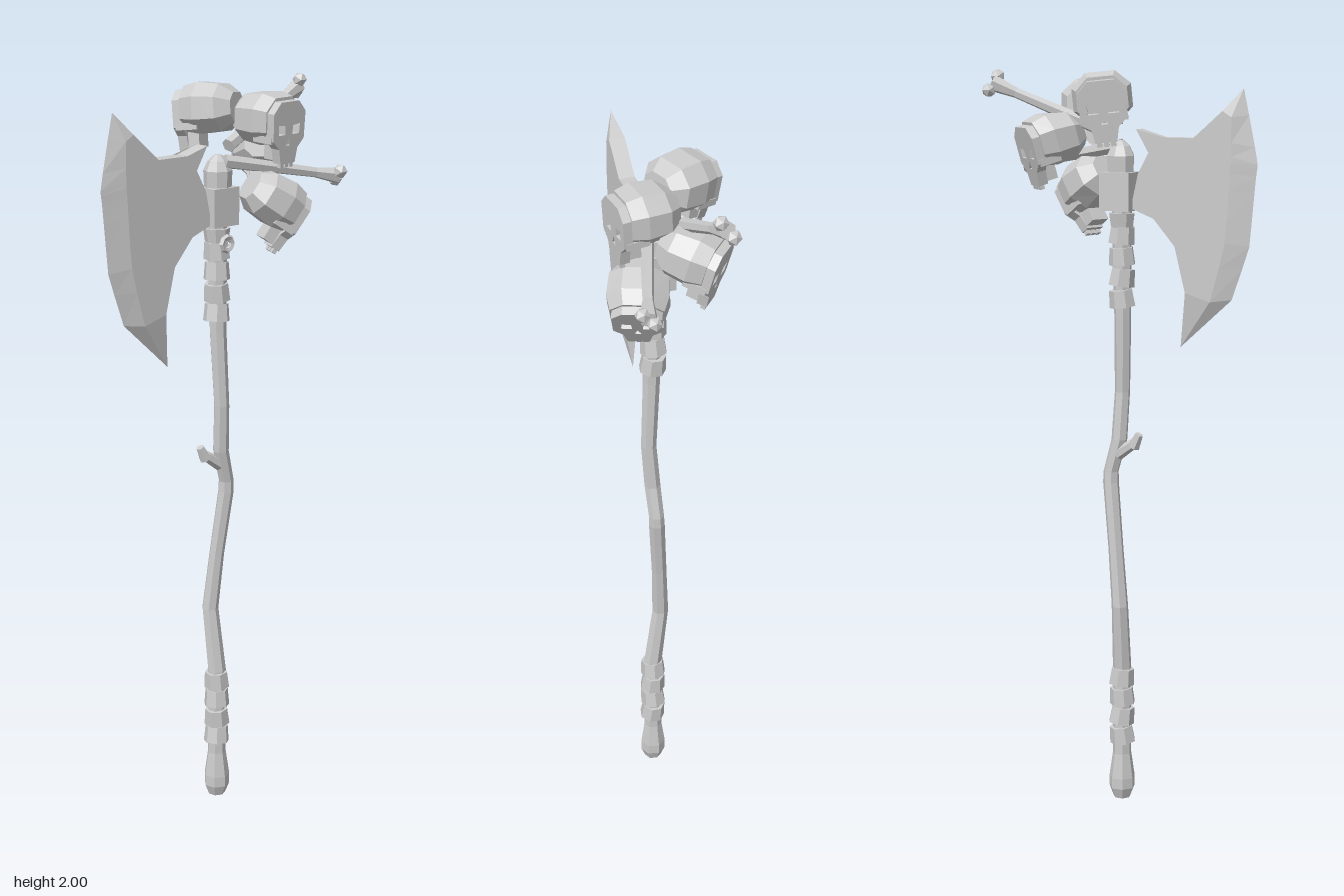
import * as THREE from 'three';

const mat = new THREE.MeshStandardMaterial({ color: 0xcccccc, flatShading: true });
const V = (x, y, z) => new THREE.Vector3(x, y, z);

function add(parent, name, geometry, x = 0, y = 0, z = 0) {
  const mesh = new THREE.Mesh(geometry, mat);
  mesh.name = name;
  mesh.position.set(x, y, z);
  parent.add(mesh);
  return mesh;
}

// Skin a list of equal-length closed rings, with fan caps at both ends
function loft(rings) {
  const pos = [];
  const tri = (...pts) => pts.forEach((p) => pos.push(p.x, p.y, p.z));
  const n = rings[0].length;
  const last = rings.length - 1;
  for (let r = 0; r < last; r++) {
    for (let i = 0; i < n; i++) {
      const j = (i + 1) % n;
      const [a, b, c, d] = [rings[r][i], rings[r][j], rings[r + 1][j], rings[r + 1][i]];
      tri(a, b, c);
      tri(a, c, d);
    }
  }
  for (let i = 1; i < n - 1; i++) {
    tri(rings[0][0], rings[0][i + 1], rings[0][i]);
    tri(rings[last][0], rings[last][i], rings[last][i + 1]);
  }
  const g = new THREE.BufferGeometry();
  g.setAttribute('position', new THREE.Float32BufferAttribute(pos, 3));
  g.computeVertexNormals();
  return g;
}

// Horizontal ring around the y axis
const ringY = (y, x, z, r, n = 7) => Array.from({ length: n }, (_, i) => {
  const a = (i / n) * Math.PI * 2;
  return V(x + r * Math.cos(a), y, z - r * Math.sin(a));
});

// Tapered rod between two points
function rod(parent, name, from, to, r0, r1, sides = 6) {
  const dir = to.clone().sub(from);
  const mesh = add(parent, name, new THREE.CylinderGeometry(r1, r0, dir.length(), sides));
  mesh.position.copy(from).addScaledVector(dir, 0.5);
  mesh.quaternion.setFromUnitVectors(V(0, 1, 0), dir.normalize());
  return mesh;
}

function addShaft(parent) {
  // y, x, z, radius
  const path = [
    [0, 0, 0, 0.024], [0.03, 0, 0, 0.036], [0.06, 0, 0, 0.036], [0.13, 0, 0, 0.026],
    [0.38, 0, 0, 0.026], [0.56, -0.023, 0.004, 0.023], [0.72, -0.014, -0.012, 0.021],
    [0.9, 0, -0.033, 0.022], [0.93, 0.001, -0.033, 0.021], [1.02, 0.005, -0.01, 0.022],
    [1.15, 0.014, -0.005, 0.021], [1.35, 0.005, 0, 0.023], [1.6, 0, 0, 0.027], [1.76, 0, 0, 0.027],
  ];
  add(parent, 'shaft', loft(path.map(([y, x, z, r]) => ringY(y, x, z, r))));

  // Broken twig stub
  rod(parent, 'twig', V(0, 0.98, -0.012), V(-0.004, 1.012, 0.035), 0.018, 0.014);
  rod(parent, 'twigTip', V(-0.004, 1.004, 0.036), V(-0.006, 1.04, 0.054), 0.017, 0.011);

  // Leather wraps on both grips
  for (const start of [0.185, 1.405]) {
    for (let i = 0; i < 4; i++) {
      const wrap = add(parent, 'gripWrap', new THREE.CylinderGeometry(0.032, 0.036, 0.046, 7),
        0, start + i * 0.056, 0);
      wrap.rotation.set(i % 2 ? 0.14 : -0.1, i * 0.4, i % 2 ? -0.06 : 0.08);
    }
  }
}

function addHead(parent) {
  // Socket, rounded cap and eyelet
  add(parent, 'socket', new THREE.BoxGeometry(0.085, 0.1, 0.085), -0.004, 1.688, -0.002);
  add(parent, 'socketCap', loft([[1.735, 0.036], [1.78, 0.038], [1.805, 0.026], [1.82, 0.01]]
    .map(([y, r]) => ringY(y, 0, -0.004, r, 8))));
  add(parent, 'collar', new THREE.CylinderGeometry(0.036, 0.03, 0.04, 8), 0, 1.61, 0);
  add(parent, 'eyelet', new THREE.TorusGeometry(0.018, 0.008, 5, 8), 0.034, 1.592, -0.006)
    .rotation.y = Math.PI / 2;

  // Blade stations from top tip to bottom tip: inner, ridge and edge as z, y pairs
  const stations = [
    [0.34, 1.957, 0.34, 1.957, 0.34, 1.957],
    [0.29, 1.9, 0.315, 1.885, 0.355, 1.89],
    [0.21, 1.83, 0.315, 1.82, 0.372, 1.81],
    [0.115, 1.83, 0.315, 1.785, 0.38, 1.767],
    [0.05, 1.85, 0.315, 1.77, 0.379, 1.755],
    [0.085, 1.79, 0.312, 1.745, 0.376, 1.735],
    [0.055, 1.735, 0.31, 1.7, 0.372, 1.69],
    [0.035, 1.645, 0.305, 1.62, 0.365, 1.61],
    [0.1, 1.62, 0.3, 1.565, 0.36, 1.555],
    [0.16, 1.55, 0.285, 1.5, 0.342, 1.5],
    [0.19, 1.43, 0.26, 1.41, 0.313, 1.416],
    [0.17, 1.284, 0.17, 1.284, 0.17, 1.284],
  ];
  add(parent, 'blade', loft(stations.map(([iz, iy, rz, ry, ez, ey], k) => {
    const t = k === 0 || k === stations.length - 1 ? 0 : 0.021;
    return [V(t, iy, iz), V(t, ry, rz), V(0, ey, ez), V(-t, ry, rz), V(-t, iy, iz)];
  })));
}

// Faceted skull looking along its local +z
function addSkull(parent, position, facing, roll) {
  const skull = new THREE.Group();
  skull.name = 'skull';
  parent.add(skull);
  skull.position.copy(position);
  skull.lookAt(position.clone().add(facing));
  skull.rotateZ(roll);

  // Cranium: z, half width, half height, centre height
  const sections = [[-0.085, 0.045, 0.038, 0.005], [-0.05, 0.073, 0.06, 0.006],
    [0.01, 0.077, 0.066, 0.008], [0.05, 0.066, 0.058, 0.008]];
  const corners = [[1, -0.45], [1, 0.45], [0.5, 1], [-0.5, 1], [-1, 0.45], [-1, -0.45], [-0.5, -1], [0.5, -1]];
  add(skull, 'cranium', loft(sections.map(([z, w, h, cy]) =>
    corners.map(([x, y]) => V(x * w, cy + y * h, z)))));

  // Face plate with eye and nose openings
  const poly = (points, Type) => new Type(points.map(([x, y]) => new THREE.Vector2(x, y)));
  const face = poly([[-0.028, -0.1], [0.028, -0.1], [0.036, -0.062], [0.06, -0.04], [0.062, 0.03],
    [0.035, 0.058], [-0.035, 0.058], [-0.062, 0.03], [-0.06, -0.04], [-0.036, -0.062]], THREE.Shape);
  for (const s of [-1, 1]) {
    face.holes.push(poly([[s * 0.013, -0.026], [s * 0.04, -0.026], [s * 0.042, 0], [s * 0.015, -0.003]], THREE.Path));
  }
  face.holes.push(poly([[-0.009, -0.054], [0.009, -0.054], [0, -0.034]], THREE.Path));
  add(skull, 'face', new THREE.ExtrudeGeometry(face, { depth: 0.026, bevelEnabled: false }), 0, 0, 0.046);

  // Upper jaw and cheekbones
  add(skull, 'upperJaw', new THREE.BoxGeometry(0.056, 0.04, 0.05), 0, -0.073, 0.04);
  for (const s of [-1, 1]) {
    add(skull, 'cheekbone', new THREE.BoxGeometry(0.014, 0.018, 0.06), s * 0.055, -0.038, 0.035);
  }
  for (let i = -1; i <= 1; i++) {
    add(skull, 'tooth', new THREE.BoxGeometry(0.013, 0.014, 0.012), i * 0.018, -0.104, 0.063);
  }
}

// Long bone with a flared, two-knobbed end
function addBone(parent, from, to, spread) {
  const bone = new THREE.Group();
  bone.name = 'bone';
  parent.add(bone);
  const neck = from.clone().lerp(to, 0.8);
  rod(bone, 'boneShaft', from, neck, 0.019, 0.014);
  rod(bone, 'boneFlare', neck, to, 0.014, 0.023);
  for (const s of [-1, 1]) {
    const p = to.clone().addScaledVector(spread, s);
    add(bone, 'boneKnob', new THREE.IcosahedronGeometry(0.02, 0), p.x, p.y, p.z);
  }
}

export function createModel() {
  const model = new THREE.Group();
  model.name = 'boneAxe';
  addShaft(model);
  addHead(model);

  // Trophy skulls clustered behind the blade
  addSkull(model, V(-0.065, 1.925, -0.025), V(-0.9, -0.1, 0.42), 0.1);
  addSkull(model, V(0.07, 1.905, -0.115), V(1, -0.05, -0.12), 0);
  addSkull(model, V(-0.04, 1.815, -0.19), V(-0.7, -0.25, -0.6), 0);
  addSkull(model, V(0.08, 1.69, -0.13), V(0.3, -0.55, -0.75), 0);

  // Crossed bones
  addBone(model, V(0, 1.84, -0.04), V(-0.064, 1.965, -0.345), V(0.014, 0.018, 0.006));
  addBone(model, V(0.02, 1.805, -0.01), V(0.118, 1.748, -0.322), V(0.014, 0.012, 0.004));
  return model;
}
